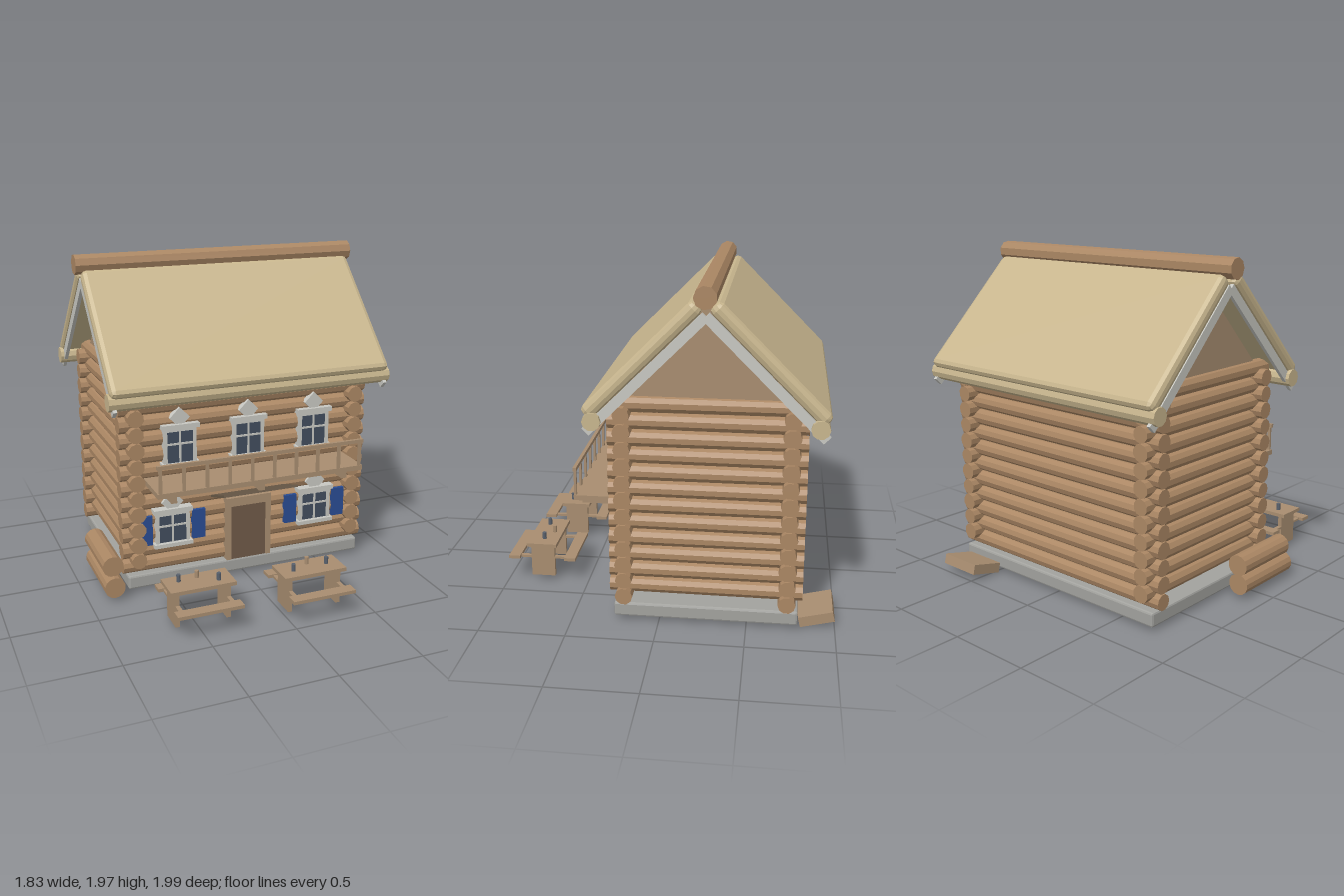
import * as THREE from 'three';
import { RoundedBoxGeometry } from 'three/addons/geometries/RoundedBoxGeometry.js';

const mat = (color, side = THREE.FrontSide) => new THREE.MeshStandardMaterial({ color, side, flatShading: true });
const M = {
  log: mat(0xab8764), plank: mat(0xa88d70), gable: mat(0xa88d70, THREE.DoubleSide), door: mat(0x6f5a48),
  thatch: mat(0xc8b68e), trim: mat(0xc8c8c2), stone: mat(0xa2a29e), glass: mat(0x424d5e),
  blue: mat(0x2a4c92), awning: mat(0x6a5a48), cup: mat(0x59616d),
};

function add(parent, name, geometry, material, x, y, z) {
  const mesh = new THREE.Mesh(geometry, material);
  mesh.name = name;
  mesh.position.set(x, y, z);
  parent.add(mesh);
  return mesh;
}

// Box given by its size and centre
const box = (parent, name, material, w, h, d, x, y, z) =>
  add(parent, name, new THREE.BoxGeometry(w, h, d), material, x, y, z);

// Log lying along x or z
function log(parent, name, material, axis, r1, r2, length, x, y, z, sides = 10) {
  const geo = new THREE.CylinderGeometry(r1, r2, length, sides);
  if (axis === 'x') geo.rotateZ(Math.PI / 2);
  else geo.rotateX(Math.PI / 2);
  return add(parent, name, geo, material, x, y, z);
}

function group(parent, name, x = 0, y = 0, z = 0) {
  const g = new THREE.Group();
  g.name = name;
  g.position.set(x, y, z);
  parent.add(g);
  return g;
}

// Window with frame, cross bars, lintel, sill and diamond ornament
function makeWindow(parent, x, y, w, h, diamond, shutters) {
  const g = group(parent, 'window', x, y, 0.24);
  const t = 0.02;
  box(g, 'glass', M.glass, w - t, h - t, 0.03, 0, 0, 0);
  for (const s of [-1, 1]) {
    box(g, 'frameSide', M.trim, t, h, 0.05, s * (w - t) / 2, 0, 0);
    box(g, 'frameRail', M.trim, w, t, 0.05, 0, s * (h - t) / 2, 0);
  }
  box(g, 'mullion', M.trim, 0.012, h, 0.04, 0, 0, 0);
  box(g, 'crossbar', M.trim, w, 0.012, 0.04, 0, 0.02, 0);
  box(g, 'lintel', M.trim, w + 0.03, 0.028, 0.07, 0, h / 2 + 0.012, 0.005);
  box(g, 'sill', M.trim, w + 0.03, 0.024, 0.07, 0, -h / 2 + 0.01, 0.005);
  const side = diamond * Math.SQRT2;
  box(g, 'diamond', M.trim, side, side, 0.04, 0, h / 2 + 0.062, 0).rotation.z = Math.PI / 4;
  if (shutters) for (const s of [-1, 1]) box(g, 'shutter', M.blue, 0.08, 0.185, 0.03, s * 0.166, 0.005, 0.005);
}

// Picnic table with benches and three cups
function makeTable(parent, x, z, cups) {
  const g = group(parent, 'picnicTable', x, 0, z);
  box(g, 'tableTop', M.plank, 0.387, 0.022, 0.185, 0, 0.246, 0);
  for (const s of [-1, 1]) {
    box(g, 'bench', M.plank, 0.387, 0.02, 0.07, 0, 0.16, s * 0.174);
    box(g, 'leg', M.plank, 0.025, 0.205, 0.147, s * 0.152, 0.135, 0);
    box(g, 'benchSupport', M.plank, 0.025, 0.014, 0.35, s * 0.152, 0.157, 0);
  }
  cups.forEach(([cx, cz], i) =>
    add(g, 'cup', new THREE.CylinderGeometry(0.013, 0.013, 0.043, 8), i === 1 ? M.plank : M.cup, cx, 0.278, cz));
}

export function createModel() {
  const model = new THREE.Group();
  model.name = 'logCabin';

  add(model, 'foundation', new RoundedBoxGeometry(1.535, 0.085, 1.047, 1, 0.012), M.stone, 0.015, 0.072, -0.266);

  // Interlocking wall logs, tapered alternately
  const walls = group(model, 'logWalls');
  for (let i = 0; i < 12; i++) {
    const a = i % 2 ? 0.05 : 0.047, b = 0.097 - a;
    const y = 0.165 + i * 0.098;
    for (const z of [0.198, -0.725]) log(walls, 'longLog', M.log, 'x', a, b, 1.583, 0.015, y, z);
    for (const x of [-0.688, 0.72]) log(walls, 'sideLog', M.log, 'z', a, b, 1.096, x, y + 0.049, -0.265);
  }

  // Gables
  const tri = new THREE.Shape([[-0.45, 1.315], [0.45, 1.315], [0, 1.78]].map(p => new THREE.Vector2(...p)));
  for (const x of [-0.69, 0.722]) {
    const gable = add(model, 'gable', new THREE.ExtrudeGeometry(tri, { depth: 0.02, bevelEnabled: false }), M.gable, x - 0.01, 0, -0.262);
    gable.rotation.y = Math.PI / 2;
  }

  // Roof: two identical slopes about the ridge
  const roof = group(model, 'roof', 0.0125, 0, -0.262);
  for (const turn of [0, Math.PI]) {
    const slope = group(roof, 'roofSlope');
    slope.rotation.y = turn;
    add(slope, 'thatch', new RoundedBoxGeometry(1.735, 0.083, 0.854, 1, 0.03), M.thatch, 0, 1.562, 0.343).rotation.x = Math.PI / 4;
    log(slope, 'eaveLog', M.thatch, 'x', 0.051, 0.051, 1.756, 0, 1.23, 0.604);
    for (const s of [-1, 1])
      box(slope, 'bargeboard', M.trim, 0.022, 0.053, 0.904, s * 0.846, 1.487, 0.32).rotation.x = Math.PI / 4;
  }
  log(roof, 'ridgeLog', M.log, 'x', 0.06, 0.062, 1.795, 0.005, 1.91, 0, 9);

  // Door and slanted board above it
  const door = group(model, 'door', 0.015, 0, 0.24);
  box(door, 'doorPanel', M.door, 0.235, 0.36, 0.03, 0, 0.295, 0.005);
  box(door, 'doorHead', M.plank, 0.292, 0.055, 0.06, 0, 0.498, 0.005);
  for (const s of [-1, 1]) box(door, 'doorPost', M.plank, 0.03, 0.36, 0.06, s * 0.131, 0.3, 0.005);
  box(model, 'doorAwning', M.awning, 0.475, 0.014, 0.235, 0.015, 0.588, 0.352).rotation.x = -0.34;

  // Windows
  for (const x of [-0.417, 0.015, 0.448]) makeWindow(model, x, 0.893, 0.2, 0.235, 0.062, false);
  for (const x of [-0.471, 0.469]) makeWindow(model, x, 0.385, 0.21, 0.215, 0.068, true);

  // Balcony
  const balcony = group(model, 'balcony', 0.014, 0, 0);
  box(balcony, 'balconyFloor', M.plank, 1.297, 0.03, 0.29, 0, 0.7, 0.355);
  for (const x of [-0.543, 0, 0.543]) box(balcony, 'floorBeam', M.plank, 0.035, 0.05, 0.27, x, 0.66, 0.335);
  box(balcony, 'handrail', M.plank, 1.3, 0.022, 0.02, 0, 0.87, 0.492);
  for (let i = 0; i < 10; i++) box(balcony, 'baluster', M.plank, 0.018, 0.15, 0.014, -0.63 + i * 0.14, 0.785, 0.492);

  // Yard: stacked logs, tilted block and tables
  log(model, 'stackedLog', M.log, 'z', 0.063, 0.063, 0.465, -0.852, 0.092, 0.088, 14);
  log(model, 'stackedLog', M.log, 'z', 0.063, 0.063, 0.44, -0.852, 0.212, 0.065, 14);
  box(model, 'backStep', M.plank, 0.275, 0.06, 0.2, 0.612, 0.058, -0.896).rotation.x = 0.24;
  makeTable(model, -0.473, 0.709, [[-0.109, -0.029], [0.002, -0.039], [0.108, 0.034]]);
  makeTable(model, 0.178, 0.783, [[-0.109, 0.017], [0.002, -0.04], [0.108, 0]]);

  return model;
}
